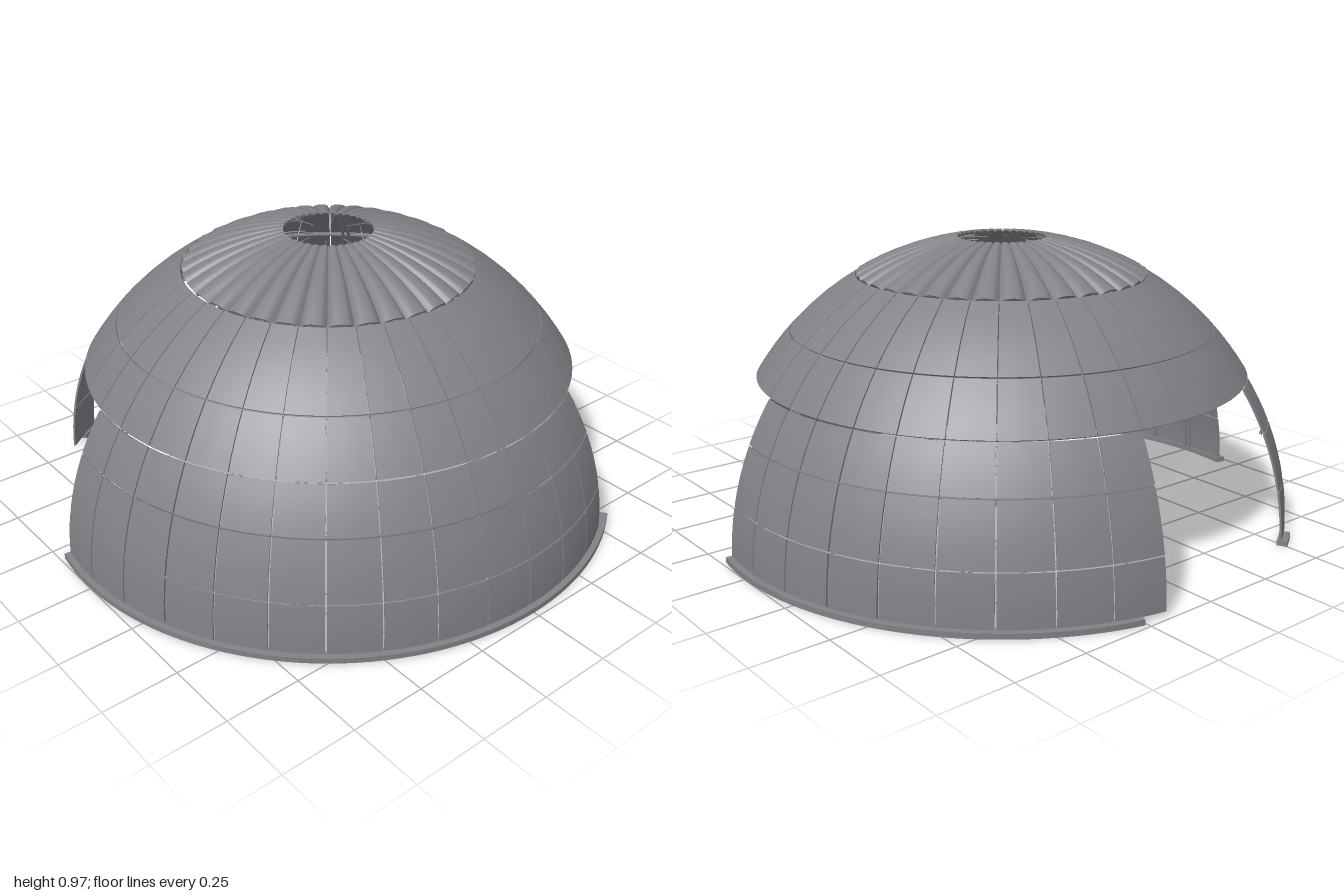
import * as THREE from 'three';
import { mergeGeometries } from 'three/addons/utils/BufferGeometryUtils.js';

const R = 0.98;            // outer radius of the shell
const SKIN = 0.007;        // panel thickness
const GAP = 0.15;          // half seam width, degrees
const STEP = 10;           // panel width, degrees
const rad = THREE.MathUtils.degToRad;

// Azimuth is measured from +z towards +x, elevation up from the ground.
const LOWER_ROWS = [0.8, 10.7, 22.6, 32];
const UPPER_ROWS = [32, 43.2, 60];
const WALLS = [
  { name: 'frontWall', from: -100, to: 30, ring: [-100, 35] },
  { name: 'backWall', from: 80, to: 170, ring: [80, 165] },
  { name: 'rearStrip', from: -150, to: -140, ring: [-150, -145] },
];

// Curved block: a box bent onto a sphere, optionally bulged outwards
function patch(az0, az1, el0, el1, segA, segE, bulge = 0) {
  const g = new THREE.BoxGeometry(1, 1, 1, segA, segE, 1);
  const p = g.attributes.position;
  for (let i = 0; i < p.count; i++) {
    const u = p.getX(i), v = p.getY(i) + 0.5;
    const az = rad(az0 + (az1 - az0) * (u + 0.5));
    const el = rad(el0 + (el1 - el0) * v);
    let r = p.getZ(i) > 0 ? R : R - SKIN;
    if (bulge) r += bulge * Math.cos(el) * (Math.sqrt(Math.max(0, 1 - 4 * u * u)) - 0.8);
    p.setXYZ(i, r * Math.cos(el) * Math.sin(az), r * Math.sin(el), r * Math.cos(el) * Math.cos(az));
  }
  g.computeVertexNormals();
  return g;
}

// Rows of separate panels with open seams
function panels(from, to, rows) {
  const parts = [];
  for (let k = 0; k < rows.length - 1; k++) {
    for (let az = from; az < to; az += STEP) {
      parts.push(patch(az + GAP, az + STEP - GAP, rows[k] + GAP, rows[k + 1] - GAP, 3, 4));
    }
  }
  return mergeGeometries(parts);
}

// Flat foot rail with a square section
function footRail(from, to) {
  const n = Math.max(2, Math.round((to - from) / 2.5));
  const g = new THREE.BoxGeometry(1, 0.018, 1, n, 1, 1);
  const p = g.attributes.position;
  for (let i = 0; i < p.count; i++) {
    const az = rad(from + (to - from) * (p.getX(i) + 0.5));
    const r = p.getZ(i) > 0 ? 1 : 0.965;
    p.setXYZ(i, r * Math.sin(az), p.getY(i) + 0.009, r * Math.cos(az));
  }
  g.computeVertexNormals();
  return g;
}

// Upright rib arc at one azimuth, shifted sideways
function rib(az, el0, el1, radius, tube, side) {
  const g = new THREE.TorusGeometry(radius, tube, 6, 32, rad(el1 - el0));
  g.rotateZ(rad(el0));
  g.translate(0, 0, side);
  g.rotateY(rad(az - 90));
  return g;
}

// Level rail inside the shell
function hoop(el, from, to) {
  const r = R - SKIN - 0.009;
  const g = new THREE.TorusGeometry(r * Math.cos(rad(el)), 0.006, 6, Math.max(4, Math.round((to - from) / 4)), rad(to - from));
  g.rotateX(-Math.PI / 2);
  g.rotateY(rad(from - 90));
  g.translate(0, r * Math.sin(rad(el)), 0);
  return g;
}

export function createModel() {
  const group = new THREE.Group();
  const grey = new THREE.MeshStandardMaterial({ color: 0x808287 });
  const metal = grey;
  metal.name = 'greyMetal';
  const add = (name, geometry) => {
    const mesh = new THREE.Mesh(geometry, metal);
    mesh.name = name;
    mesh.position.z = -0.02;
    group.add(mesh);
  };

  // Wall sections standing on their foot rails
  for (const w of WALLS) {
    add(w.name, panels(w.from, w.to, LOWER_ROWS));
    add(w.name + 'FootRail', footRail(...w.ring));
    add(w.name + 'Hoop', hoop(22.6, w.from, w.to));
  }

  // Continuous upper shell
  add('upperShell', panels(0, 360, UPPER_ROWS));
  add('upperHoops', mergeGeometries([hoop(32.6, 0, 360), hoop(43.2, 0, 360)]));

  // Fluted cap around the round opening
  const flutes = [];
  for (let az = 0; az < 360; az += STEP) {
    flutes.push(patch(az, az + STEP, 60.2, 81.2, 8, 6, 0.045));
  }
  add('flutedCap', mergeGeometries(flutes));

  // Paired ribs, reaching the ground only where there is a wall
  const ribs = [], fins = [];
  for (let az = -135; az <= 180; az += 45) {
    const walled = WALLS.some((w) => az > w.from && az < w.to);
    for (const side of [-0.011, 0.011]) {
      ribs.push(rib(az, walled ? 1 : 32.3, 80.5, R - SKIN - 0.013, 0.006, side));
    }
    fins.push(rib(az, 70, 85.3, R - SKIN - 0.016, 0.002, 0));
  }
  add('pairedRibs', mergeGeometries(ribs));
  add('openingFins', mergeGeometries(fins));

  return group;
}
